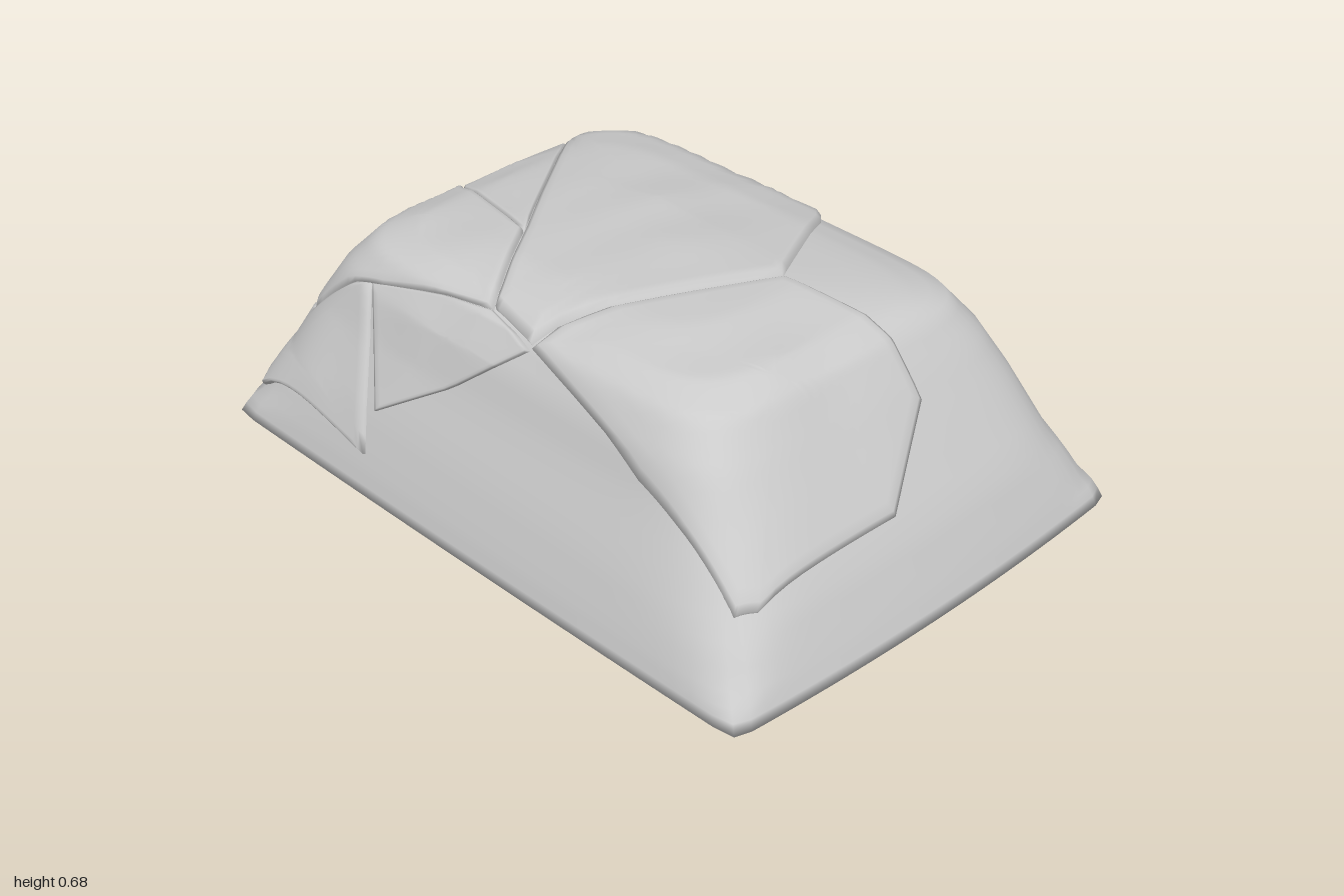
import * as THREE from 'three';

const material = new THREE.MeshStandardMaterial({ color: 0xcccccc, roughness: 0.9 });

// Half-extents of the mound at rising heights: y, +x, -x, +z, -z, corner squareness
const LEVELS = [
  [0, 0.71, 0.71, 1.0, 1.0, 60],
  [0.08, 0.695, 0.69, 0.97, 0.97, 16],
  [0.22, 0.65, 0.645, 0.91, 0.91, 9],
  [0.39, 0.59, 0.575, 0.805, 0.825, 9],
  [0.50, 0.54, 0.54, 0.735, 0.755, 9],
  [0.585, 0.48, 0.49, 0.665, 0.69, 8],
  [0.62, 0.36, 0.43, 0.59, 0.60, 6],
  [0.645, 0.15, 0.32, 0.40, 0.40, 4],
  [0.655, 0.001, 0.001, 0.001, 0.001, 2],
];
const TOP = 0.655;
const BULGE_X = 0.01, BULGE_Z = 0.03;

function levelAt(y) {
  let i = 0;
  while (i < LEVELS.length - 2 && y > LEVELS[i + 1][0]) i++;
  const a = LEVELS[i], b = LEVELS[i + 1];
  const t = (y - a[0]) / (b[0] - a[0]);
  return a.map((v, k) => v + (b[k] - v) * t);
}

// The crown leans up toward the front and the -x side
const tilt = (x, y, z) => Math.max(0, (y - 0.5) / 0.155) * (0.035 * z - 0.015 * x);

// Height of the mound above a point of the ground plan
function height(x, z) {
  let lo = 0, hi = TOP;
  for (let i = 0; i < 24; i++) {
    const y = (lo + hi) / 2;
    const [, xp, xn, zp, zn, p] = levelAt(y);
    const u = Math.abs(x) / (x > 0 ? xp : xn), v = Math.abs(z) / (z > 0 ? zp : zn);
    const du = u / (1 - BULGE_X * Math.min(1, v * v));
    const dv = v / (1 - BULGE_Z * Math.min(1, u * u));
    if (du ** p + dv ** p < 1) lo = y; else hi = y;
  }
  return lo + tilt(x, lo, z);
}

function surfaceNormal(x, z) {
  const e = 0.02;
  return new THREE.Vector3(
    height(x - e, z) - height(x + e, z), 2 * e, height(x, z - e) - height(x, z + e)
  ).normalize();
}

// Skin over closed rows of points
function loft(name, rows) {
  const n = rows[0].length, index = [];
  for (let i = 0; i < rows.length - 1; i++) {
    for (let j = 0; j < n; j++) {
      const a = i * n + j, b = i * n + (j + 1) % n, c = a + n, d = b + n;
      index.push(a, c, b, b, c, d);
    }
  }
  const geometry = new THREE.BufferGeometry().setFromPoints(rows.flat());
  geometry.setIndex(index);
  geometry.computeVertexNormals();
  const mesh = new THREE.Mesh(geometry, material);
  mesh.name = name;
  return mesh;
}

// One level of the mound as a rounded, slightly bulging rectangle
function moundRing(y, count = 160) {
  const [, xp, xn, zp, zn, p] = levelAt(y);
  return Array.from({ length: count }, (_, j) => {
    const a = (j / count) * Math.PI * 2, c = Math.cos(a), s = Math.sin(a);
    const r = (Math.abs(c) ** p + Math.abs(s) ** p) ** (-1 / p);
    const u = c * r, v = s * r;
    const x = u * (c > 0 ? xp : xn) * (1 - BULGE_X * v * v);
    const z = v * (s > 0 ? zp : zn) * (1 - BULGE_Z * u * u);
    return new THREE.Vector3(x, y + tilt(x, y, z), z);
  });
}

// Stone plate draped on the mound, with a sunken rim and a slightly uneven face
function plate(name, outline, thickness, centre) {
  const pts = outline.map(([x, z]) => new THREE.Vector2(x, z));
  if (THREE.ShapeUtils.area(pts) < 0) pts.reverse();
  const mid = centre
    ? new THREE.Vector2(...centre)
    : pts.reduce((s, p) => s.add(p), new THREE.Vector2()).divideScalar(pts.length);
  const rim = [];
  pts.forEach((p, i) => {
    const q = pts[(i + 1) % pts.length];
    for (let k = 0; k < 10; k++) rim.push(p.clone().lerp(q, k / 10));
  });
  const steps = [1, 0.985, 0.95];
  for (let k = 17; k >= 0; k--) steps.push((k / 18) * 0.95);
  const rows = steps.map((t, i) => rim.map((p) => {
    const { x, y: z } = mid.clone().lerp(p, t);
    const wave = 0.003 * Math.sin(x * 17 + z * 9) + 0.003 * Math.sin(z * 21 - x * 6);
    const lift = i === 0 ? -0.02 : i === 1 ? thickness * 0.6 : thickness + wave * (1 - t);
    return new THREE.Vector3(x, height(x, z), z).addScaledVector(surfaceNormal(x, z), lift);
  }));
  return loft(name, rows);
}

export function createModel() {
  const group = new THREE.Group();
  group.name = 'rockMound';

  // Mound body, with its flat underside blended into the walls
  const base = moundRing(0);
  const rings = [0, 0.5, 0.96].map((s) => base.map((p) => p.clone().multiplyScalar(s)));
  for (let i = 0; i < LEVELS.length - 1; i++) {
    for (let k = 0; k < 3; k++) {
      rings.push(moundRing(THREE.MathUtils.lerp(LEVELS[i][0], LEVELS[i + 1][0], k / 3)));
    }
  }
  rings.push(moundRing(TOP));
  group.add(loft('moundBody', rings));

  // Overlapping stone plates, outlined in plan
  group.add(plate('largePlate', [
    [0.34, -0.72], [0.5, -0.57], [0.58, -0.35], [0.645, -0.05], [0.46, 0.14],
    [0.1, 0.34], [-0.5, 0.05], [-0.47, -0.12], [-0.2, -0.31],
  ], 0.02));
  group.add(plate('frontPlate', [
    [-0.5, 0.05], [0.1, 0.34], [0.15, 0.65], [0.16, 0.76], [-0.06, 0.88],
    [-0.53, 0.87], [-0.58, 0.84], [-0.56, 0.5],
  ], 0.02));
  group.add(plate('backPlate', [
    [-0.47, -0.12], [-0.2, -0.31], [-0.1, -0.67], [0.02, -0.82], [-0.23, -0.955],
    [-0.41, -0.9], [-0.54, -0.78], [-0.52, -0.5],
  ], 0.016, [-0.32, -0.6]));
  group.add(plate('backMiddlePlate', [
    [-0.2, -0.31], [0.34, -0.72], [0.3, -0.8], [0.22, -0.85], [0.02, -0.82], [-0.1, -0.67],
  ], 0.01));
  group.add(plate('cornerPlate', [
    [-0.68, -0.42], [-0.65, -0.9], [-0.25, -0.955], [-0.41, -0.9], [-0.54, -0.78], [-0.52, -0.55],
  ], 0.014, [-0.6, -0.86]));
  group.add(plate('sidePlate', [
    [-0.64, -0.42], [-0.52, -0.55], [-0.47, -0.12], [-0.5, 0.05], [-0.54, -0.04],
  ], 0.012));
  return group;
}
